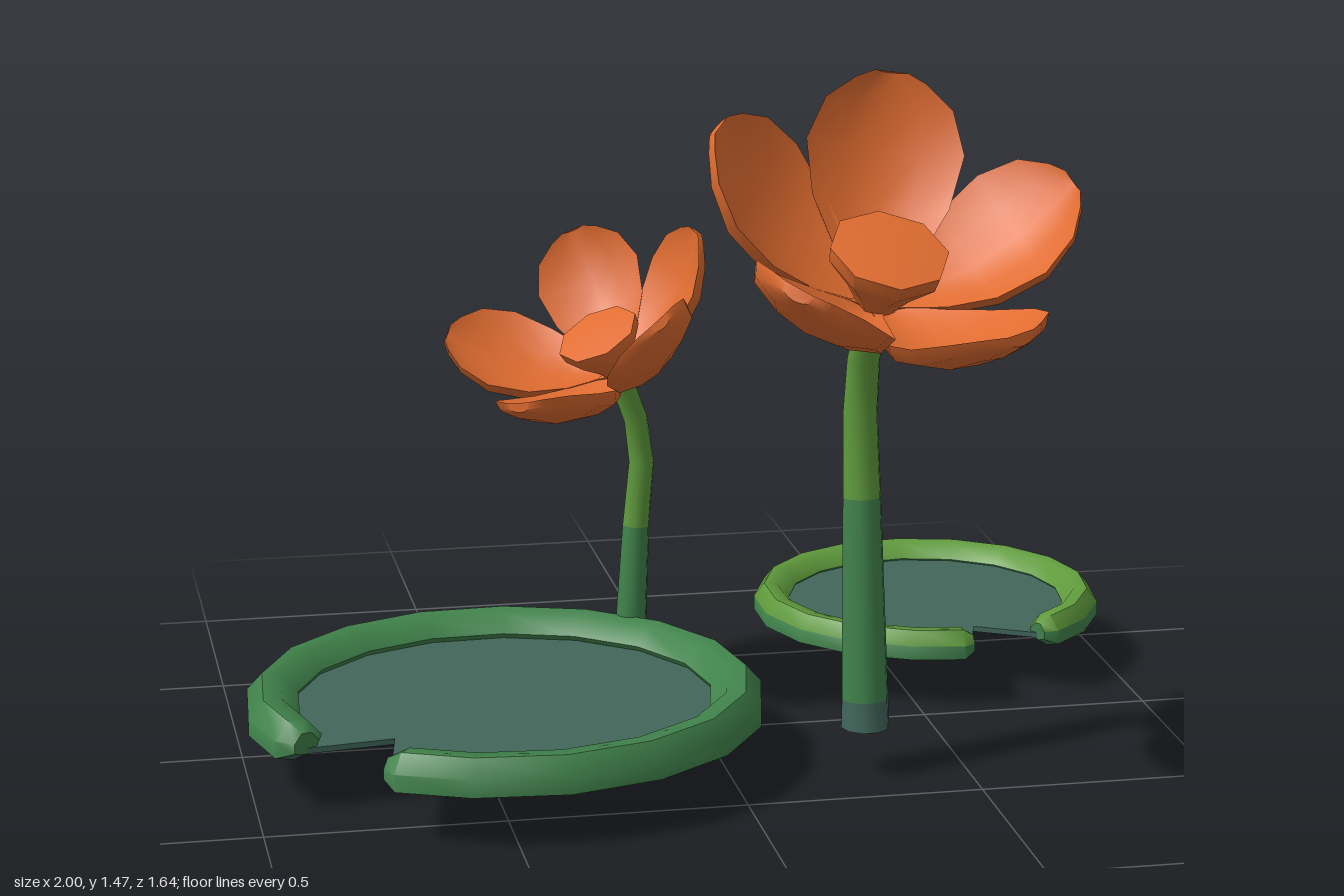
import * as THREE from 'three';
import { toCreasedNormals } from 'three/addons/utils/BufferGeometryUtils.js';

const V = (x, y, z) => new THREE.Vector3(x, y, z);

// Closed skin over a row of rings; matOf picks the material index of each quad
function loft(rings, matOf = () => 0, crease = 0.8) {
  const n = rings[0].length, last = rings.length - 1;
  const pts = rings.flat();
  const faces = [];
  const add = (m, a, b, c) => (faces[m] ??= []).push([a, b, c]);
  for (let i = 0; i < last; i++) {
    for (let j = 0; j < n; j++) {
      const k = (j + 1) % n, a = i * n + j, b = i * n + k, c = b + n, d = a + n;
      add(matOf(i, j), a, b, c);
      add(matOf(i, j), a, c, d);
    }
  }
  // End caps
  for (let j = 1; j < n - 1; j++) {
    add(matOf(0, 0), 0, j + 1, j);
    add(matOf(last - 1, 0), last * n, last * n + j, last * n + j + 1);
  }
  // Turn the faces outward
  let volume = 0;
  faces.flat().forEach(([a, b, c]) => { volume += pts[a].dot(V().crossVectors(pts[b], pts[c])); });
  const geo = new THREE.BufferGeometry().setFromPoints(pts);
  const index = [];
  faces.forEach((list, m) => {
    geo.addGroup(index.length, list.length * 3, m);
    list.forEach(([a, b, c]) => index.push(...(volume > 0 ? [a, b, c] : [a, c, b])));
  });
  geo.setIndex(index);
  return toCreasedNormals(geo, crease);
}

function createModel() {
  const model = new THREE.Group();
  const material = (name, color) => {
    const m = new THREE.MeshStandardMaterial({ color });
    m.name = name;
    return m;
  };
  const teal = material('deep teal', 0x41665a);
  const green = material('leaf green', 0x40824b);
  const lime = material('light green', 0x5f9a3c);
  const orange = material('petal orange', 0xe06c30);
  const greens = [teal, green, lime];

  const add = (parent, name, geo, mat) => {
    const mesh = new THREE.Mesh(geo, mat);
    mesh.name = name;
    parent.add(mesh);
    return mesh;
  };

  // Lily pad: flat leaf with a notch and a thick raised rim
  function pad(name, x, z, radius, width, top, from, to, notch, colours) {
    const group = new THREE.Group();
    group.name = name;
    group.position.set(x, 0, z);
    const h = top - 0.1, mid = radius - width / 2;
    const profile = [[1, 0.12], [1, 0.55], [0.4, 0.97], [-0.35, 0.94], [-1, 0.5], [-0.6, 0.1], [0.2, 0]];
    const steps = [0, 0.012];
    for (let i = 1; i < 16; i++) steps.push(i / 16);
    steps.push(0.988, 1);
    const angle = t => THREE.MathUtils.degToRad(from + (to - from) * t);
    const rings = steps.map(t => {
      const s = t === 0 || t === 1 ? 0.55 : 1;
      return profile.map(([u, v]) => {
        const r = mid + u * s * width / 2, y = 0.1 + h * (0.5 + (v - 0.5) * s);
        return V(Math.cos(angle(t)) * r, y, Math.sin(angle(t)) * r);
      });
    });
    add(group, 'rim', loft(rings, (i, j) => colours[j], 0.9), greens);

    const outline = [new THREE.Vector2(...notch)];
    steps.forEach(t => outline.push(new THREE.Vector2(Math.cos(angle(t)) * mid, Math.sin(angle(t)) * mid)));
    const leaf = new THREE.ExtrudeGeometry(new THREE.Shape(outline), { depth: 0.012, bevelEnabled: false });
    leaf.rotateX(Math.PI / 2).translate(0, 0.132, 0);
    add(group, 'leaf', leaf, teal);
    model.add(group);
  }
  pad('largePad', -0.45, 0.125, 0.553, 0.11, 0.187, 153, 486, [-0.26, 0.2], [1, 1, 1, 1, 1, 0, 0]);
  pad('smallPad', 0.608, -0.432, 0.394, 0.08, 0.172, 87, 419, [0.055, 0.23], [1, 2, 2, 2, 1, 0, 1]);

  // Bent stem: rows of x, y, z, radius, colour above the row
  function stem(name, rows) {
    const points = rows.map(r => V(r[0], r[1], r[2]));
    const rings = rows.map((row, i) => {
      const dir = points[Math.min(i + 1, rows.length - 1)].clone().sub(points[Math.max(i - 1, 0)]).normalize();
      if (i === 0) dir.set(0, 1, 0);
      const turn = new THREE.Quaternion().setFromUnitVectors(V(0, 1, 0), dir);
      return Array.from({ length: 10 }, (_, j) => {
        const a = j / 10 * Math.PI * 2;
        return V(Math.cos(a), 0, Math.sin(a)).multiplyScalar(row[3]).applyQuaternion(turn).add(points[i]);
      });
    });
    add(model, name, loft(rings, i => rows[i][4]), greens);
  }
  stem('tallStem', [
    [0.285, 0.1, 0.34, 0.052, 0], [0.285, 0.16, 0.336, 0.05, 1], [0.283, 0.59, 0.298, 0.041, 2],
    [0.282, 0.77, 0.28, 0.037, 2], [0.282, 0.89, 0.305, 0.035, 2], [0.288, 1.02, 0.37, 0.032, 2]]);
  stem('shortStem', [
    [-0.113, 0, -0.275, 0.038, 0], [-0.11, 0.1, -0.278, 0.036, 1], [-0.092, 0.385, -0.292, 0.03, 2],
    [-0.078, 0.53, -0.297, 0.028, 2], [-0.092, 0.63, -0.29, 0.026, 2], [-0.135, 0.745, -0.267, 0.025, 2]]);

  // Cupped petal, running along +y with its inner face toward +z
  const stations = [[0, 0.05], [0.1, 0.085], [0.25, 0.19], [0.45, 0.29], [0.68, 0.335], [0.86, 0.27], [0.96, 0.15], [1, 0.07]];
  const across = [-1, -0.5, 0, 0.5, 1];
  const under = [0.9, 0.45, 0, -0.45, -0.9];
  function petalGeometry(len) {
    const rings = stations.map(([t, w]) => {
      const point = (u, drop) => V(u * w, t, -0.5 * t * (1 - t) + 0.3 * w * u * u - drop).multiplyScalar(len);
      const thick = 0.035 + 0.03 * Math.sin(Math.PI * t);
      return [...across.map(u => point(u, 0)), ...under.map(u => point(u, thick))];
    });
    return loft(rings, () => 0, 0.9);
  }

  // Flower: petals reach to the given tips, around a flared centre
  function flower(name, base, axis, size, tips) {
    const group = new THREE.Group();
    group.name = name;
    group.position.copy(base);
    axis.normalize();
    tips.forEach(([x, y, z], i) => {
      const dir = V(x, y, z), len = dir.length();
      dir.normalize();
      const inner = axis.clone().addScaledVector(dir, -axis.dot(dir)).normalize();
      const side = V().crossVectors(dir, inner);
      const petal = add(group, 'petal' + (i + 1), petalGeometry(len), orange);
      petal.quaternion.setFromRotationMatrix(new THREE.Matrix4().makeBasis(side, dir, inner));
    });
    const profile = [[0, -0.025], [0.042, -0.02], [0.045, 0.01], [0.07, 0.05], [0.12, 0.11], [0.125, 0.145], [0, 0.155]];
    const lathe = new THREE.LatheGeometry(profile.map(([r, y]) => new THREE.Vector2(r * size, y * size)), 8);
    const centre = add(group, 'flowerCentre', toCreasedNormals(lathe, 0.85), orange);
    centre.quaternion.setFromUnitVectors(V(0, 1, 0), axis);
    model.add(group);
  }
  flower('largeFlower', V(0.29, 1.02, 0.375), V(0.08, 0.88, 0.47), 1, [
    [0.08, 0.44, -0.22], [0.41, 0.24, 0.02], [0.19, 0.02, 0.43], [-0.25, 0.12, 0.39], [-0.32, 0.37, -0.05]]);
  flower('smallFlower', V(-0.135, 0.745, -0.265), V(-0.46, 0.85, 0.24), 0.75, [
    [0.17, 0.31, 0.02], [0.035, 0.18, 0.32], [-0.06, 0.27, -0.23], [-0.36, 0.07, -0.12], [-0.26, 0, 0.27]]);

  return model;
}

export { createModel };
